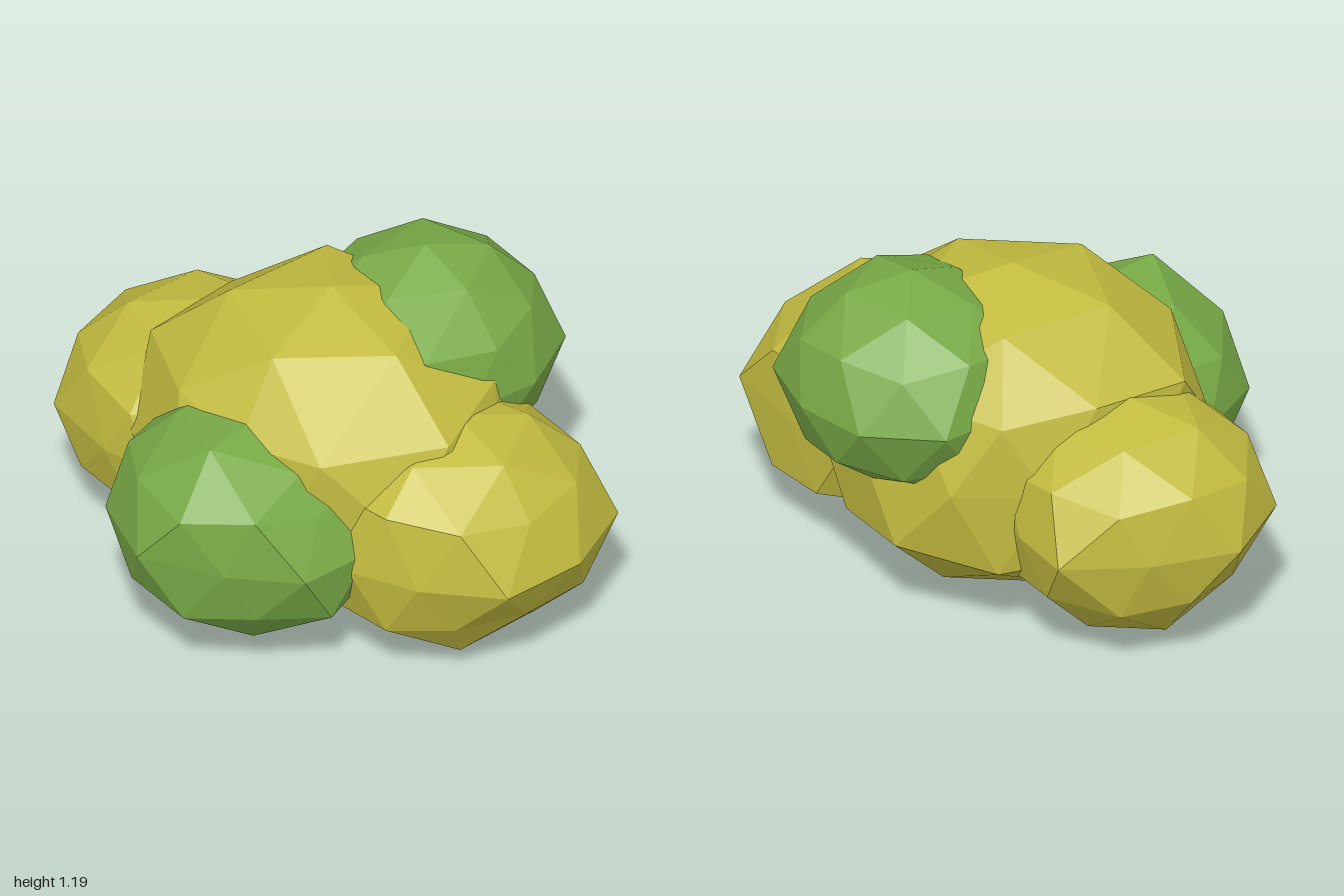
import * as THREE from 'three';

const yellowLeaf = new THREE.MeshStandardMaterial({ color: 0xc2bb40 });
yellowLeaf.name = 'yellow leaf';
const greenLeaf = new THREE.MeshStandardMaterial({ color: 0x79aa47 });
greenLeaf.name = 'green leaf';

// Flattened low-poly ball with a vertex at each pole. Each point in "pulls"
// replaces the ball vertex that lies in its direction, for an uneven outline.
function leafClump(name, material, center, width, height, pulls) {
  const geometry = new THREE.IcosahedronGeometry(1, 1);
  geometry.rotateZ(Math.atan2(1, (1 + Math.sqrt(5)) / 2));
  geometry.rotateY(Math.PI);
  const size = new THREE.Vector3(width, height, width);
  const targets = pulls.map((p) => {
    const offset = new THREE.Vector3(...p).sub(new THREE.Vector3(...center));
    return { offset, dir: offset.clone().divide(size).normalize() };
  });
  const pos = geometry.attributes.position;
  const v = new THREE.Vector3();
  for (let i = 0; i < pos.count; i++) {
    v.fromBufferAttribute(pos, i);
    const hit = targets.find((t) => t.dir.dot(v) > 0.962);
    if (hit) v.copy(hit.offset);
    else v.multiply(size);
    pos.setXYZ(i, v.x, v.y, v.z);
  }
  geometry.computeVertexNormals(); // unshared corners give flat faces
  const mesh = new THREE.Mesh(geometry, material);
  mesh.name = name;
  mesh.position.set(...center);
  return mesh;
}

export function createModel() {
  const bush = new THREE.Group();
  bush.name = 'bush';
  bush.add(
    leafClump('middleClump', yellowLeaf, [0, 0.57, -0.06], 0.665, 0.57, [
      // upper rings
      [0.63, 0.84, -0.06], [-0.51, 0.83, 0.3], [-0.14, 0.87, 0.47],
      [0.45, 0.83, 0.34], [0.17, 0.82, 0.46], [-0.54, 0.85, -0.06],
      [-0.46, 0.82, -0.38], [0.17, 0.8, -0.58], [-0.16, 0.85, -0.55],
      // widest ring
      [0, 0.55, -0.63], [-0.38, 0.57, -0.53], [-0.56, 0.57, -0.25],
      [-0.56, 0.57, 0.13], [0.37, 0.57, 0.42],
      // underside
      [0.24, 0.09, 0.12], [-0.1, 0.085, 0.24],
    ]),
    leafClump('leftClump', yellowLeaf, [0.523, 0.445, -0.175], 0.49, 0.415, [
      // widest ring
      [1, 0.445, -0.02], [0.99, 0.445, -0.33], [0.84, 0.445, -0.61],
      [0.78, 0.445, 0.19], [0.53, 0.445, -0.61], [0.55, 0.445, 0.3],
      // upper rings
      [0.92, 0.64, -0.175], [0.4, 0.67, 0.25], [0.65, 0.68, 0.22],
      // underside
      [0.9, 0.26, -0.175], [0.82, 0.25, 0.06], [0.39, 0.23, 0.26],
      [0.38, 0.22, -0.59], [0.63, 0.21, -0.61], [0.22, 0.07, -0.175],
      [0.73, 0.08, -0.03], [0.45, 0.13, -0.4], [0.73, 0.1, -0.35],
    ]),
    leafClump('rightClump', yellowLeaf, [-0.53, 0.445, 0.075], 0.47, 0.4, [
      [-1, 0.445, 0.22], [-0.93, 0.445, -0.09], [-0.79, 0.445, -0.36],
      [-0.8, 0.445, 0.48], [-0.49, 0.445, 0.51], [-0.54, 0.445, -0.36],
      [-0.93, 0.26, 0.075], [-0.76, 0.07, 0.075], [-0.56, 0.065, 0.075],
      [-0.6, 0.065, -0.13], [-0.83, 0.25, 0.29],
    ]),
    leafClump('frontClump', greenLeaf, [0.115, 0.495, 0.37], 0.47, 0.41, [
      [0.11, 0.5, 0.845], [0.38, 0.5, 0.69], [-0.18, 0.5, 0.75],
      [-0.345, 0.51, 0.5], [0.575, 0.5, 0.5], [0.55, 0.29, 0.37],
      [0.19, 0.875, 0.6], [0.14, 0.875, 0.37], [0.38, 0.78, 0.37],
      [0.48, 0.66, 0.37], [0.43, 0.31, 0.59],
    ]),
    leafClump('backClump', greenLeaf, [0.06, 0.795, -0.41], 0.43, 0.395, [
      [0.06, 0.795, -0.845], [-0.21, 0.795, -0.78], [0.33, 0.795, -0.79],
      [-0.385, 0.795, -0.55], [0.475, 0.795, -0.55],
      [0.39, 1, -0.15], [0.13, 1.1, -0.2], [-0.11, 1.1, -0.28],
      [0.19, 0.51, -0.63], [-0.05, 0.51, -0.63], [0.06, 0.45, -0.41],
    ]),
  );
  return bush;
}
